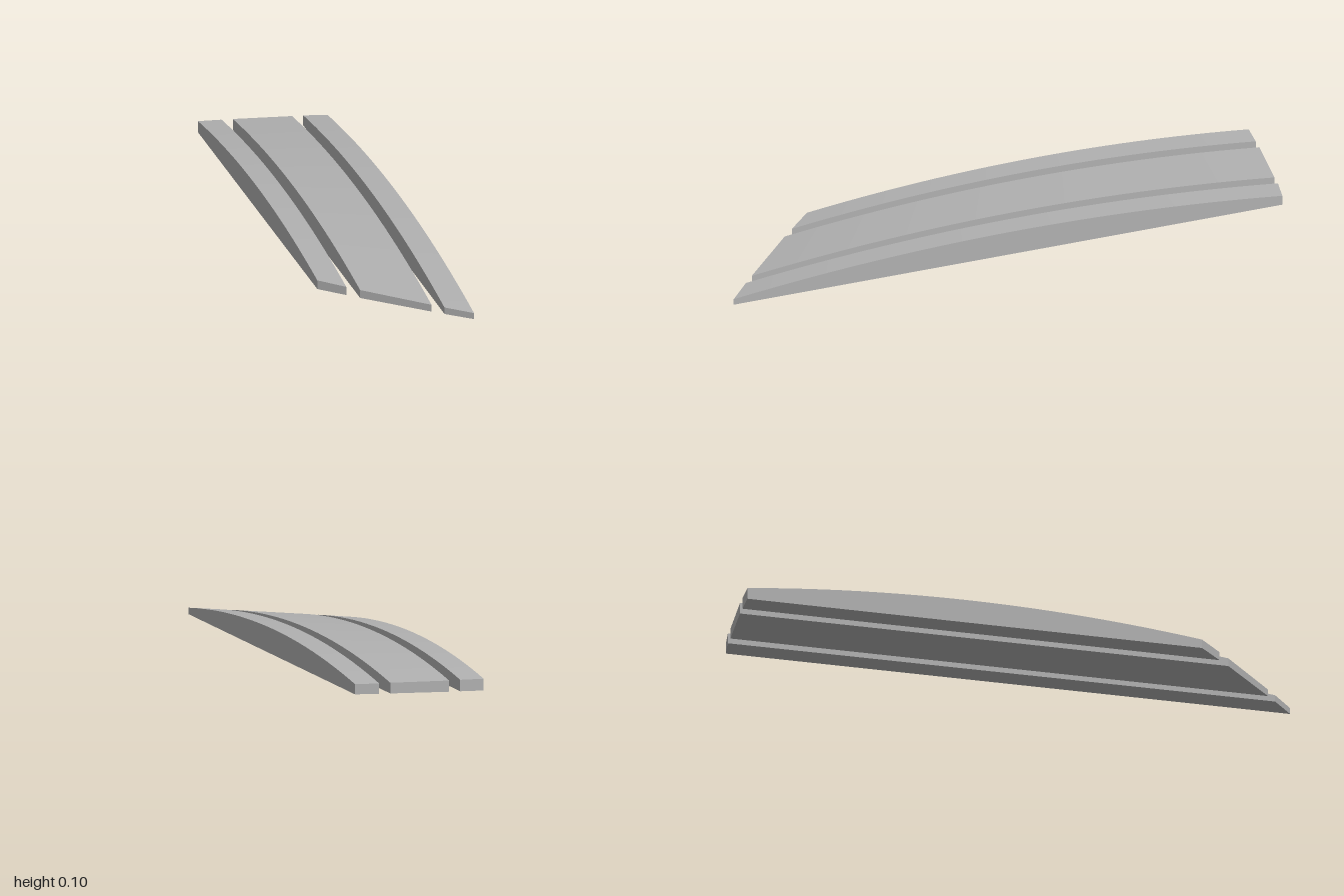
import * as THREE from 'three';

const STEPS = 24;

// Each plank: plan corners [x, z] and edge heights [back, middle, front]
const PLANKS = [
  { name: 'leftEdgeStrip', back: [[-0.765, -0.80], [-0.68, -0.84]], front: [[0.09, 0.81], [0.215, 0.85]],
    heights: [[0.046, 0.096, 0.036], [0.045, 0.097, 0.034]] },
  { name: 'centrePanel', back: [[-0.64, -0.86], [-0.425, -0.95]], front: [[0.275, 0.87], [0.58, 0.955]],
    heights: [[0.044, 0.097, 0.033], [0.042, 0.1, 0.028]] },
  { name: 'rightEdgeStrip', back: [[-0.385, -0.97], [-0.295, -1]], front: [[0.635, 0.97], [0.76, 1]],
    heights: [[0.041, 0.1, 0.027], [0.04, 0.101, 0.025]] },
];

// Points along one long edge, on the ground or on the shallow arch
function edge(plank, side, top) {
  const [x0, z0] = plank.back[side], [x1, z1] = plank.front[side];
  const [h0, hm, h1] = plank.heights[side];
  const points = [];
  for (let i = 0; i <= STEPS; i++) {
    const t = i / STEPS;
    const arch = h0 * (1 - t) * (1 - 2 * t) + hm * 4 * t * (1 - t) + h1 * t * (2 * t - 1);
    points.push([x0 + (x1 - x0) * t, top ? arch : 0, z0 + (z1 - z0) * t]);
  }
  return points;
}

function plankGeometry(plank) {
  const positions = [], indices = [];
  // A surface between two rows; rows are not shared, so its borders stay sharp
  const ribbon = (a, b) => {
    const start = positions.length / 3;
    a.forEach((p, i) => positions.push(...p, ...b[i]));
    for (let i = 0; i < a.length - 1; i++) {
      const k = start + i * 2;
      indices.push(k, k + 2, k + 1, k + 1, k + 2, k + 3);
    }
  };
  const topL = edge(plank, 0, true), topR = edge(plank, 1, true);
  const lowL = edge(plank, 0, false), lowR = edge(plank, 1, false);
  ribbon(topL, topR); // arched top
  ribbon(topR, lowR); // long sides
  ribbon(lowL, topL);
  ribbon(lowR, lowL); // flat underside
  const n = STEPS;
  ribbon([topL[n], lowL[n]], [topR[n], lowR[n]]); // front end
  ribbon([topR[0], lowR[0]], [topL[0], lowL[0]]); // back end

  const geometry = new THREE.BufferGeometry();
  geometry.setAttribute('position', new THREE.Float32BufferAttribute(positions, 3));
  geometry.setIndex(indices);
  geometry.computeVertexNormals();
  return geometry;
}

export function createModel() {
  const grey = new THREE.MeshStandardMaterial({ color: 0xb0b0b0 });
  grey.name = 'grey';
  const model = new THREE.Group();
  model.name = 'archedPlanks';
  for (const plank of PLANKS) {
    const mesh = new THREE.Mesh(plankGeometry(plank), grey);
    mesh.name = plank.name;
    model.add(mesh);
  }
  return model;
}
